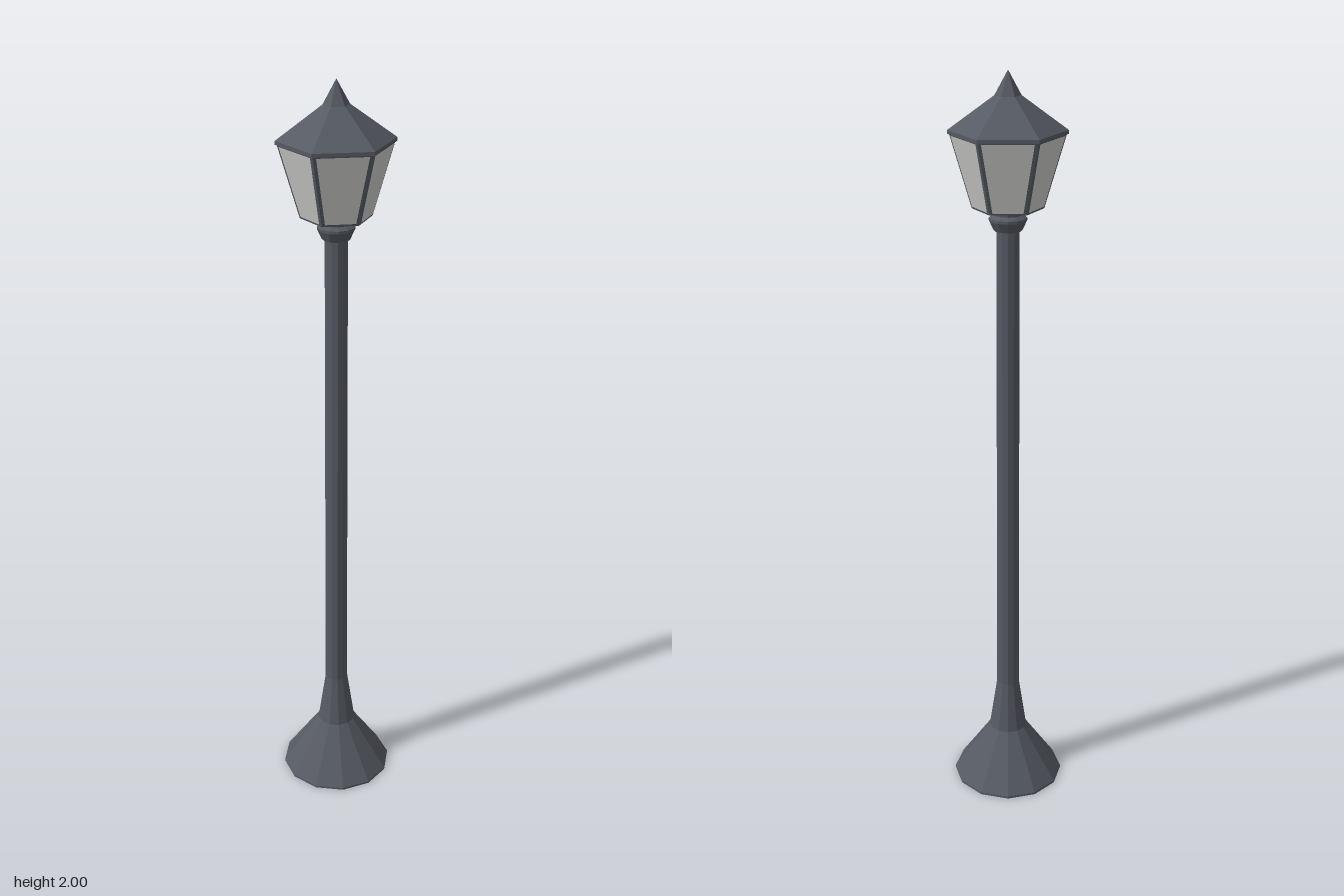
import * as THREE from 'three';

const metal = new THREE.MeshStandardMaterial({ color: 0x565a62, flatShading: true });
metal.name = 'dark grey metal';
const glass = new THREE.MeshStandardMaterial({ color: 0xcdcdcb, flatShading: true });
glass.name = 'pale glass';

// faceted solid of revolution from [radius, height] pairs, listed bottom to top
function turned(name, profile, sides) {
  const points = profile.map(([r, y]) => new THREE.Vector2(r, y));
  const geometry = new THREE.LatheGeometry(points, sides).toNonIndexed();
  geometry.computeVertexNormals();
  const mesh = new THREE.Mesh(geometry, metal);
  mesh.name = name;
  return mesh;
}

export function createModel() {
  const group = new THREE.Group();
  group.name = 'streetLamp';

  // flared foot, slender post and the collar under the lantern
  group.add(turned('base', [[0, 0], [0.153, 0], [0.153, 0.006], [0.052, 0.155], [0.031, 0.3]], 12));
  group.add(turned('pole', [[0.031, 0.3], [0.029, 1.62]], 12));
  group.add(turned('collar', [[0.028, 1.608], [0.036, 1.61], [0.048, 1.635], [0.048, 1.642],
    [0.038, 1.65], [0.04, 1.672]], 12));

  // six-sided lantern cage and roof, with a corner facing front
  const low = { r: 0.09, y: 1.665 };
  const high = { r: 0.144, y: 1.85 };
  group.add(turned('lanternFrame', [[0, low.y], [low.r, low.y], [high.r, high.y], [0, high.y]], 6));
  group.add(turned('roof', [[0, 1.848], [0.148, 1.848], [0.148, 1.857], [0.033, 1.94], [0, 2]], 6));

  // glass panes: trapezoids just proud of each side, leaving the struts and rims bare
  const panes = new THREE.Group();
  panes.name = 'lanternPanes';
  const apothem = Math.cos(Math.PI / 6);
  const corner = (t, side) => {
    const r = THREE.MathUtils.lerp(low.r, high.r, t);
    return [side * (r / 2 - 0.008), THREE.MathUtils.lerp(low.y, high.y, t), r * apothem + 0.0015];
  };
  const paneGeometry = new THREE.BufferGeometry();
  paneGeometry.setAttribute('position', new THREE.Float32BufferAttribute(
    [corner(0.03, -1), corner(0.03, 1), corner(0.97, 1), corner(0.97, -1)].flat(), 3));
  paneGeometry.setIndex([0, 1, 2, 0, 2, 3]);
  paneGeometry.computeVertexNormals();
  for (let i = 0; i < 6; i++) {
    const pane = new THREE.Mesh(paneGeometry, glass);
    pane.name = 'pane';
    pane.rotation.y = Math.PI / 6 + i * Math.PI / 3;
    panes.add(pane);
  }
  group.add(panes);
  return group;
}
